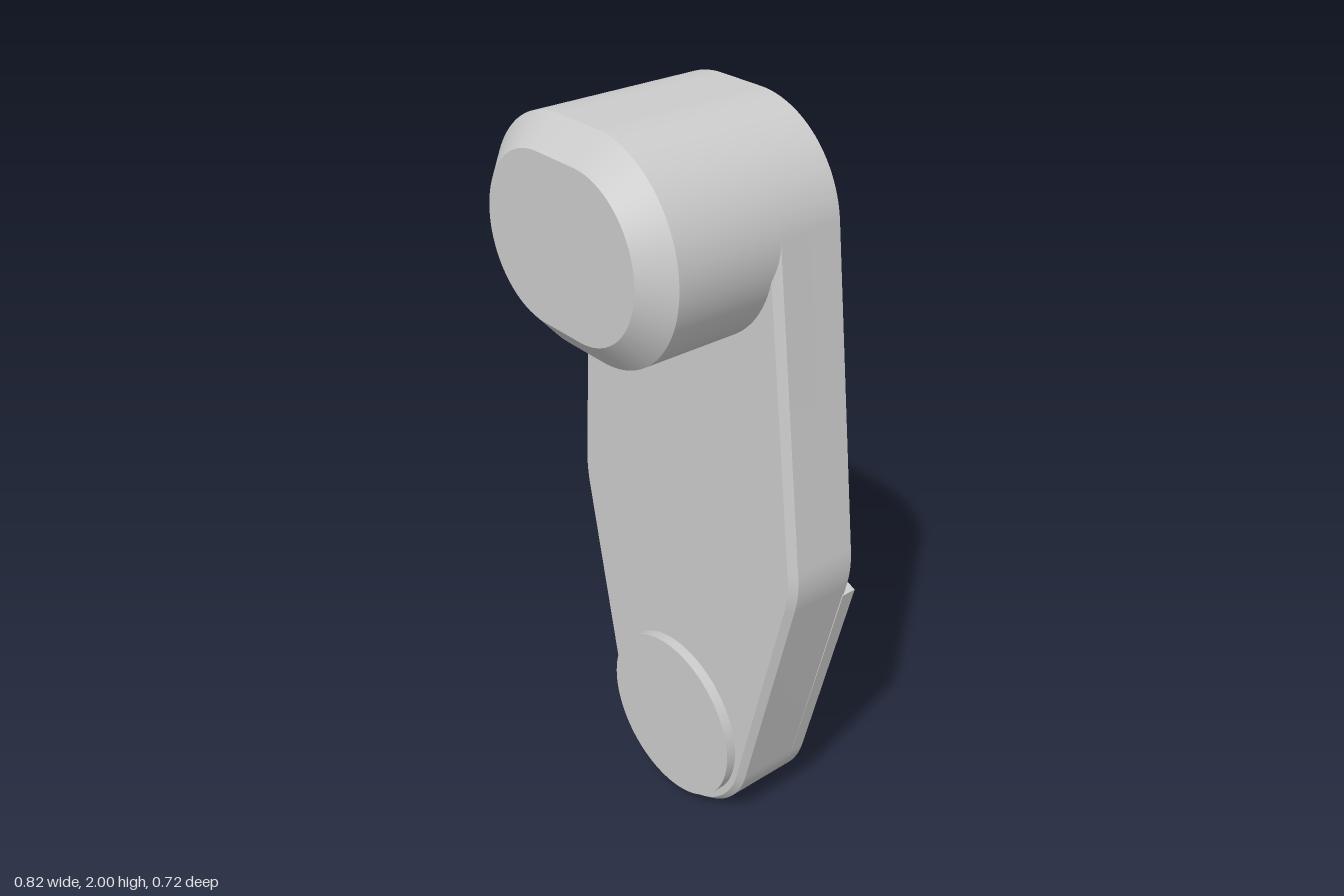
import * as THREE from 'three';
import { toCreasedNormals } from 'three/addons/utils/BufferGeometryUtils.js';

const CX = -0.02; // shared axis of the head, discs and stud
const rad = THREE.MathUtils.degToRad;

// Counter-clockwise outline points without the duplicate end point
function outline(shape, divisions = 20) {
  const pts = shape.getPoints(divisions).filter((p, i, a) => i === 0 || p.distanceTo(a[i - 1]) > 1e-4);
  if (pts[0].distanceTo(pts[pts.length - 1]) < 1e-4) pts.pop();
  return pts;
}

// Moves each outline point inward along its averaged normal
function inset(pts, d) {
  const n = pts.length;
  return pts.map((p, i) => {
    const t = pts[(i + 1) % n].clone().sub(pts[(i + n - 1) % n]).normalize();
    return new THREE.Vector2(p.x - t.y * d, p.y + t.x * d);
  });
}

// Solid through matching outlines, ordered from back to front as [points, z]
function loft(name, layers) {
  const pos = [];
  const put = (p, z) => pos.push(p.x, p.y, z);
  const n = layers[0][0].length;
  for (let k = 0; k < layers.length - 1; k++) {
    const [a, za] = layers[k], [b, zb] = layers[k + 1];
    for (let i = 0; i < n; i++) {
      const j = (i + 1) % n;
      put(a[i], za); put(a[j], za); put(b[j], zb);
      put(a[i], za); put(b[j], zb); put(b[i], zb);
    }
  }
  const [back, zBack] = layers[0], [front, zFront] = layers[layers.length - 1];
  for (const [a, b, c] of THREE.ShapeUtils.triangulateShape(back, [])) {
    put(back[a], zBack); put(back[c], zBack); put(back[b], zBack);
  }
  for (const [a, b, c] of THREE.ShapeUtils.triangulateShape(front, [])) {
    put(front[a], zFront); put(front[b], zFront); put(front[c], zFront);
  }
  const geo = new THREE.BufferGeometry();
  geo.setAttribute('position', new THREE.Float32BufferAttribute(pos, 3));
  const mesh = new THREE.Mesh(toCreasedNormals(geo, rad(28)), new THREE.MeshStandardMaterial({ color: 0xcccccc }));
  mesh.name = name;
  return mesh;
}

function disc(name, y, r, z0, z1) {
  const pts = outline(new THREE.Shape().absarc(CX, y, r, 0, Math.PI * 2), 64);
  return loft(name, [[pts, z0], [pts, z1]]);
}

// Circle with its top cut flat at the given height above the centre
function cutCircle(r, flat) {
  const gap = Math.acos(flat / r), start = Math.PI / 2 + gap, sweep = 2 * (Math.PI - gap);
  return Array.from({ length: 49 }, (_, i) => {
    const a = start + sweep * i / 48;
    return new THREE.Vector2(CX + r * Math.cos(a), 0.275 + r * Math.sin(a));
  });
}

export function createModel() {
  const group = new THREE.Group();
  const HY = 1.732, R = 0.268, HALF = 0.066;

  // Tapered plate with a narrow chamfer around its front
  const plate = new THREE.Shape();
  plate.absarc(CX + HALF, HY, R, rad(6.7), rad(90));
  plate.absarc(CX - HALF, HY, R, rad(90), rad(175.3));
  plate.lineTo(-0.412, 0.96);
  plate.quadraticCurveTo(-0.418, 0.9, -0.407, 0.84);
  plate.absarc(CX, 0.27, 0.27, rad(191), rad(346.4));
  plate.lineTo(0.401, 0.84);
  plate.quadraticCurveTo(0.416, 0.9, 0.407, 0.96);
  plate.closePath();
  const platePts = outline(plate);
  group.add(loft('plate', [[platePts, -0.155], [platePts, 0.02], [inset(platePts, 0.015), 0.04]]));

  // Raised lower layer on the back, with a peaked upper edge
  const layer = new THREE.Shape();
  layer.moveTo(-0.03, 0.98);
  layer.lineTo(-0.396, 0.795);
  layer.absarc(CX, 0.27, 0.27, rad(191), rad(346.4));
  layer.lineTo(0.397, 0.81);
  layer.closePath();
  const layerPts = outline(layer, 32);
  group.add(loft('backLayer', [[layerPts, -0.19], [layerPts, -0.15]]));

  // Oblong head with a bevelled front
  const head = new THREE.Shape();
  head.absarc(CX + HALF, HY, R, -Math.PI / 2, Math.PI / 2);
  head.absarc(CX - HALF, HY, R, Math.PI / 2, Math.PI * 1.5);
  head.closePath();
  const headPts = outline(head, 32);
  group.add(loft('head', [[headPts, -0.155], [headPts, 0.3], [inset(headPts, 0.069), 0.362]]));

  // Round pads
  group.add(disc('frontPad', 0.277, 0.24, 0.03, 0.068));
  group.add(disc('backPad', 1.22, 0.218, -0.216, -0.15));

  // Conical stud with a sloping flat on top
  group.add(loft('backStud', [[cutCircle(0.098, 0.065), -0.362], [cutCircle(0.27, 0.195), -0.188]]));

  return group;
}
